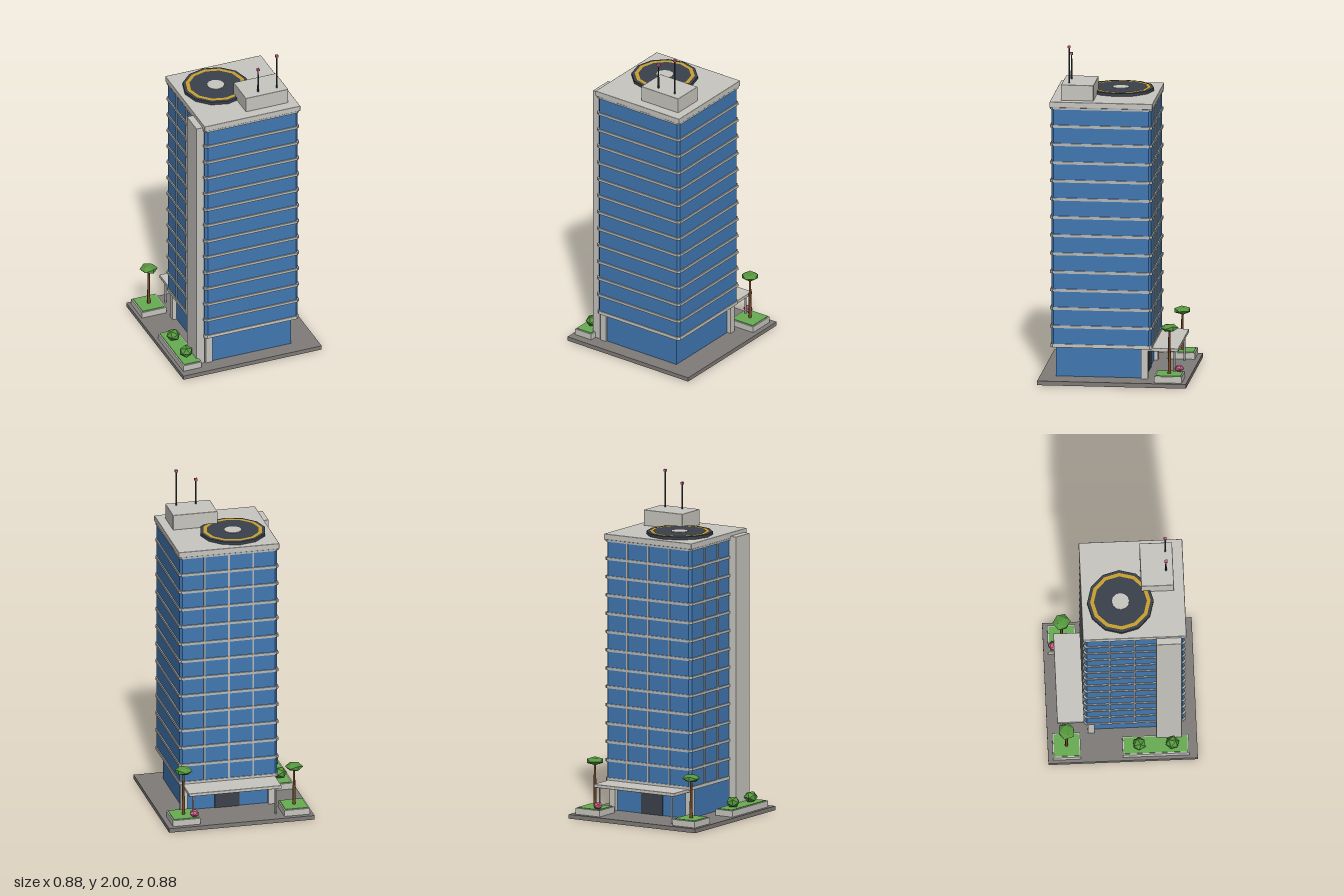
import * as THREE from 'three';
import { RoundedBoxGeometry } from 'three/addons/geometries/RoundedBoxGeometry.js';

const mat = (name, color, flatShading = false) => {
  const m = new THREE.MeshStandardMaterial({ color, flatShading });
  m.name = name;
  return m;
};

export function createModel() {
  const concrete = mat('concrete', 0xc8c6c0);
  const paving = mat('paving', 0x807c79);
  const glass = mat('blue glass', 0x4178b2);
  const metal = mat('pale metal', 0xb6b9b8);
  const dark = mat('charcoal', 0x3b414c);
  const yellow = mat('yellow paint', 0xc9a02e);
  const grass = mat('grass', 0x68ad52);
  const leaf = mat('leaf', 0x56983f, true);
  const bark = mat('bark', 0x7a4f2c);
  const pink = mat('pink', 0xd0628c, true);

  const model = new THREE.Group();
  model.name = 'officeTower';

  const add = (name, geometry, material, x, y, z, parent = model) => {
    const mesh = new THREE.Mesh(geometry, material);
    mesh.name = name;
    mesh.position.set(x, y, z);
    parent.add(mesh);
    return mesh;
  };
  // Box given by its x, y and z ranges; bevel softens the edges
  const box = (name, material, [x0, x1], [y0, y1], [z0, z1], bevel = 0) => {
    const s = [x1 - x0, y1 - y0, z1 - z0];
    const g = bevel ? new RoundedBoxGeometry(...s, 1, bevel) : new THREE.BoxGeometry(...s);
    return add(name, g, material, (x0 + x1) / 2, (y0 + y1) / 2, (z0 + z1) / 2);
  };
  // Square floor plate with chamfered corners, centred on the tower axis
  const CX = 0.025, CZ = 0.075;
  const plate = (name, material, half, y0, y1, c = 0.014) => {
    const a = half, b = half - c;
    const pts = [[a, -b], [a, b], [b, a], [-b, a], [-a, b], [-a, -b], [-b, -a], [b, -a]];
    const shape = new THREE.Shape(pts.map(p => new THREE.Vector2(...p)));
    const g = new THREE.ExtrudeGeometry(shape, { depth: y1 - y0, bevelEnabled: false });
    g.rotateX(-Math.PI / 2);
    return add(name, g, material, CX, y0, CZ);
  };

  // Site slab
  box('siteSlab', paving, [-0.44, 0.44], [0, 0.025], [-0.44, 0.44]);

  // Lobby, its corner columns and the entrance door
  box('lobbyGlass', glass, [-0.235, 0.285], [0.025, 0.21], [-0.175, 0.345]);
  for (const [x, z] of [[-0.24, 0.335], [-0.24, -0.18], [0.29, -0.18]])
    box('lobbyColumn', concrete, [x - 0.02, x + 0.02], [0.025, 0.21], [z - 0.02, z + 0.02]);
  box('entranceDoor', dark, [-0.05, 0.1], [0.025, 0.15], [-0.182, -0.174]);

  // Tower shaft with a band at each floor
  plate('towerGlass', glass, 0.295, 0.215, 1.65);
  plate('towerFloor', concrete, 0.3, 0.205, 0.225);
  for (let k = 1; k <= 13; k++) {
    const y = 0.22 + k * 0.1095;
    plate('floorBand', metal, 0.302, y - 0.008, y + 0.008);
  }
  // Upright mullions on the back and the service side
  for (const t of [-0.1475, 0, 0.1475]) {
    const zb = CZ - 0.297, xs = CX - 0.297;
    box('backMullion', metal, [CX + t - 0.005, CX + t + 0.005], [0.22, 1.65], [zb - 0.004, zb + 0.004]);
    box('sideMullion', metal, [xs - 0.004, xs + 0.004], [0.22, 1.65], [CZ + t - 0.005, CZ + t + 0.005]);
  }
  box('serviceCore', concrete, [-0.32, -0.268], [0.025, 1.66], [0.2, 0.35], 0.003);

  // Roof and plant room
  box('roofSlab', concrete, [-0.28, 0.33], [1.647, 1.682], [-0.23, 0.38], 0.004);
  box('plantRoom', concrete, [0.008, 0.278], [1.68, 1.775], [0.125, 0.318], 0.004);

  // Antennas with warning lights
  for (const [x, top] of [[0.103, 1.935], [0.222, 2]]) {
    add('antenna', new THREE.CylinderGeometry(0.004, 0.005, top - 1.775, 6), dark, x, (top + 1.765) / 2, 0.275);
    box('antennaLight', pink, [x - 0.008, x + 0.008], [top - 0.014, top], [0.267, 0.283]);
  }

  // Helipad with its painted ring and centre spot
  const pad = new THREE.Group();
  pad.name = 'helipad';
  pad.position.set(-0.053, 1.682, 0);
  model.add(pad);
  add('padDeck', new THREE.CylinderGeometry(0.196, 0.196, 0.018, 12), dark, 0, 0.009, 0, pad);
  const ring = new THREE.RingGeometry(0.156, 0.178, 12, 1);
  ring.rotateX(-Math.PI / 2);
  add('padRing', ring, yellow, 0, 0.02, 0, pad);
  add('padCentre', new THREE.CylinderGeometry(0.051, 0.051, 0.004, 12), concrete, 0, 0.019, 0, pad);

  // Entrance canopy on two posts
  box('canopy', concrete, [-0.255, 0.305], [0.19, 0.21], [-0.38, -0.17], 0.003);
  for (const x of [-0.225, 0.275])
    add('canopyPost', new THREE.CylinderGeometry(0.006, 0.006, 0.17, 8), metal, x, 0.108, -0.355);

  // Planters: concrete kerb filled with grass
  const planters = [
    [[-0.42, -0.265], [-0.412, -0.247]],
    [[0.243, 0.41], [-0.412, -0.247]],
    [[-0.42, -0.303], [0, 0.39]],
  ];
  for (const [[x0, x1], [z0, z1]] of planters) {
    box('planter', concrete, [x0, x1], [0.025, 0.062], [z0, z1]);
    box('planterGrass', grass, [x0 + 0.008, x1 - 0.008], [0.06, 0.066], [z0 + 0.008, z1 - 0.008]);
  }

  // Trees, shrubs and a flowering bush
  const clump = (name, material, r, squash, x, y, z, turn = 0) => {
    const m = add(name, new THREE.IcosahedronGeometry(r, 0), material, x, y, z);
    m.scale.y = squash;
    m.rotation.y = turn;
  };
  for (const [x, y, turn] of [[-0.343, 0.303, 0.3], [0.327, 0.34, 2.2]]) {
    add('treeTrunk', new THREE.CylinderGeometry(0.006, 0.01, y - 0.06, 6), bark, x, (y + 0.06) / 2, -0.33);
    clump('treeCrown', leaf, 0.054, 0.46, x, y, -0.33, turn);
  }
  clump('shrub', leaf, 0.042, 0.85, -0.363, 0.095, 0.097, 0.5);
  clump('shrub', leaf, 0.042, 0.85, -0.363, 0.095, 0.293, 1.3);
  clump('flowerBush', pink, 0.03, 0.75, 0.274, 0.085, -0.382, 0.8);

  return model;
}
